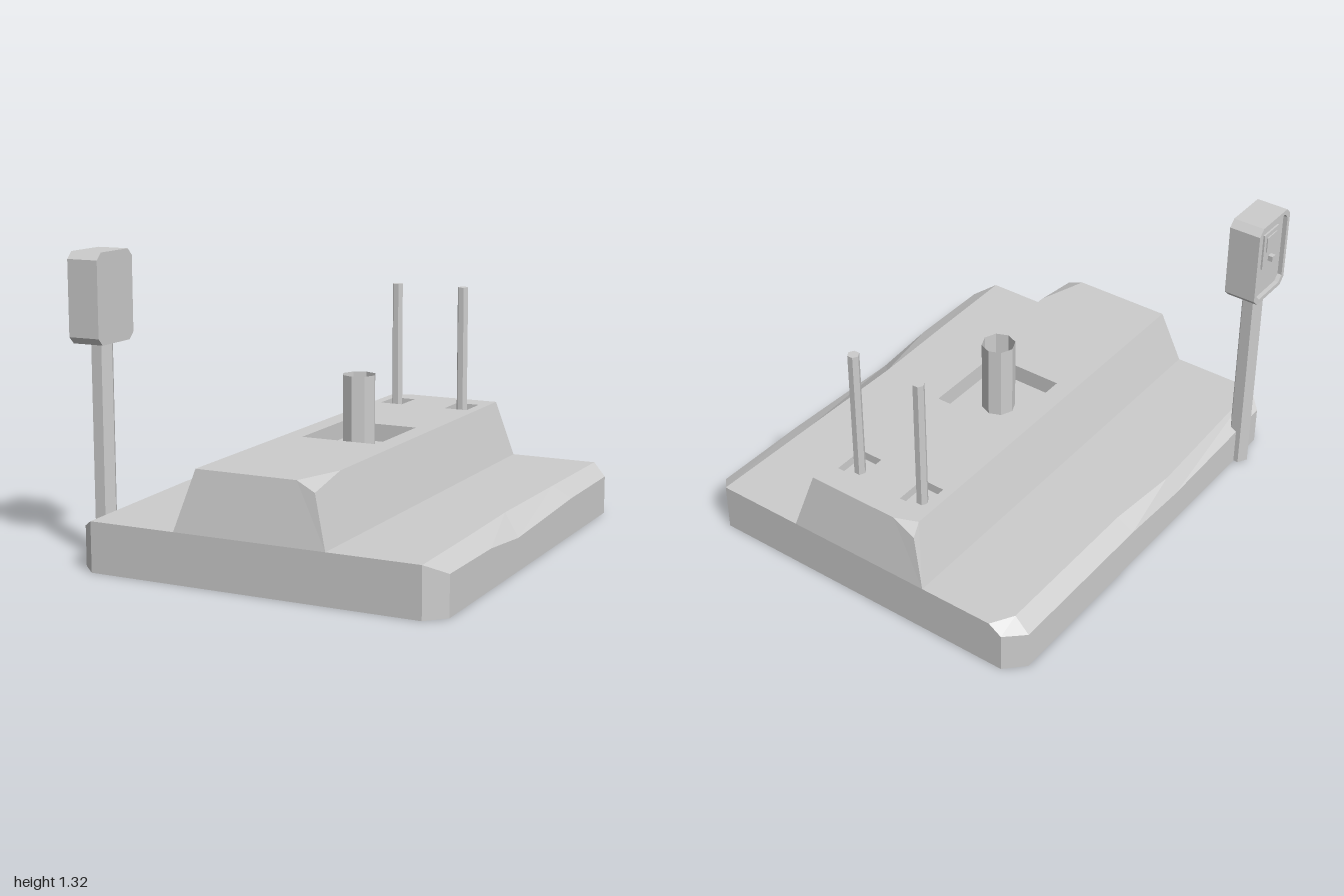
import * as THREE from 'three';

const grey = new THREE.MeshStandardMaterial({ color: 0xcccccc, side: THREE.DoubleSide });
grey.name = 'plain grey';

// Faceted mesh with one normal per face
function flatMesh(geometry, name) {
  const g = geometry.index ? geometry.toNonIndexed() : geometry;
  g.computeVertexNormals();
  const mesh = new THREE.Mesh(g, grey);
  mesh.name = name;
  return mesh;
}

// Joins equal-length rings of [x, y, z]; optional caps on the last and first ring
function loft(rings, capEnd, capStart) {
  const out = [];
  const tri = (a, b, c) => out.push(...a, ...b, ...c);
  const n = rings[0].length;
  const centre = ring => [0, 1, 2].map(k => ring.reduce((s, p) => s + p[k], 0) / n);
  for (let i = 0; i < n; i++) {
    const j = (i + 1) % n;
    for (let r = 0; r + 1 < rings.length; r++) {
      const a = rings[r], b = rings[r + 1];
      tri(a[i], a[j], b[j]);
      tri(a[i], b[j], b[i]);
    }
    const first = rings[0], last = rings[rings.length - 1];
    if (capEnd) tri(last[i], last[j], centre(last));
    if (capStart) tri(first[j], first[i], centre(first));
  }
  const g = new THREE.BufferGeometry();
  g.setAttribute('position', new THREE.Float32BufferAttribute(out, 3));
  return g;
}

const rect = (x0, x1, z0, z1, y) => [[x0, y, z1], [x1, y, z1], [x1, y, z0], [x0, y, z0]];

// Rectangle with cut corners, as a shape or a hole
function cutRect(Type, x0, x1, y0, y1, c) {
  const pts = [[x0 + c, y0], [x1 - c, y0], [x1, y0 + c], [x1, y1 - c],
    [x1 - c, y1], [x0 + c, y1], [x0, y1 - c], [x0, y0 + c]];
  return new Type(pts.map(p => new THREE.Vector2(...p)));
}

function prism(radius, y0, y1, sides, turn, x, z, name, open = false) {
  const g = new THREE.CylinderGeometry(radius, radius, y1 - y0, sides, 1, open);
  g.rotateY(turn);
  g.translate(x, (y0 + y1) / 2, z);
  return flatMesh(g, name);
}

function block(x0, x1, y0, y1, z0, z1, name) {
  const g = new THREE.BoxGeometry(x1 - x0, y1 - y0, z1 - z0);
  g.translate((x0 + x1) / 2, (y0 + y1) / 2, (z0 + z1) / 2);
  return flatMesh(g, name);
}

export function createModel() {
  const model = new THREE.Group();
  model.name = 'platform';

  // Slab with cut corners and worn side edges
  const edge = [
    [-0.71, 0.22, 1], [0.79, 0.22, 1], [0.87, 0.175, 0.92], [0.87, 0.173, 0.5], [0.87, 0.145, 0.2],
    [0.87, 0.172, -0.45], [0.87, 0.175, -0.92], [0.79, 0.22, -1],
    [-0.65, 0.22, -1], [-0.71, 0.18, -1], [-0.79, 0.175, -0.92],
    [-0.79, 0.175, -0.15], [-0.79, 0.155, 0.2], [-0.79, 0.175, 0.92],
  ];
  const top = [
    edge[0], edge[1], edge[1], [0.782, 0.22, 0.55], [0.77, 0.22, 0.1],
    [0.78, 0.22, -0.45], edge[7], edge[7],
    edge[8], edge[8], [-0.71, 0.22, -0.9],
    [-0.71, 0.22, -0.15], [-0.74, 0.22, 0.2], edge[0],
  ];
  const ground = edge.map(([x, , z]) => [x, 0, z]);
  model.add(flatMesh(loft([ground, edge, top], true, true), 'baseSlab'));

  // Raised ridge with two chipped corners
  const chipA = [0.315, 0.44, 0.96], chipB = [-0.242, 0.435, -0.96];
  const rim = [[-0.23, 0.48, 0.95], [0.23, 0.48, 0.95], chipA, [0.305, 0.48, 0.72],
    [0.305, 0.48, -0.95], [-0.13, 0.48, -0.95], chipB, [-0.23, 0.48, -0.91]];
  const flatRim = rim.map((p, i) => (p === chipA || p === chipB ? rim[i + 1] : p));
  const [fl, fr, br, bl] = rect(-0.31, 0.38, -1, 1, 0.22);
  model.add(flatMesh(loft([[fl, fr, fr, fr, br, bl, bl, bl], rim, flatRim]), 'ridgeSides'));

  // Ridge top with its three pockets: x0, x1, z0, z1, floor height
  const pockets = [
    [-0.142, 0.218, -0.205, 0.2, 0.4],
    [-0.185, -0.075, -0.84, -0.69, 0.44],
    [0.148, 0.26, -0.84, -0.69, 0.44],
  ];
  const deck = new THREE.Shape(flatRim.map(([x, , z]) => new THREE.Vector2(x, -z)));
  for (const [x0, x1, z0, z1, floor] of pockets) {
    deck.holes.push(cutRect(THREE.Path, x0, x1, -z1, -z0, 0));
    model.add(flatMesh(loft([rect(x0, x1, z0, z1, 0.48), rect(x0, x1, z0, z1, floor)], true), 'pocket'));
  }
  const deckGeo = new THREE.ShapeGeometry(deck);
  deckGeo.rotateX(-Math.PI / 2);
  deckGeo.translate(0, 0.48, 0);
  model.add(flatMesh(deckGeo, 'ridgeTop'));

  // Hollow centre post and two thin rods
  model.add(prism(0.075, 0.4, 0.74, 8, 0, 0.036, 0, 'hollowPost', true));
  for (const x of [-0.132, 0.205]) {
    model.add(prism(0.026, 0.44, 1.05, 6, Math.PI / 6, x, -0.763, 'rod'));
  }

  // Control box on a six-sided stand
  const control = new THREE.Group();
  control.name = 'controlStand';
  control.add(prism(0.05, 0, 0.95, 6, Math.PI / 6, -0.787, 0.77, 'stand'));
  const slice = (shape, x, depth, name) => {
    const g = new THREE.ExtrudeGeometry(shape, { depth, bevelEnabled: false });
    g.rotateY(-Math.PI / 2);
    g.translate(x, 0, 0);
    control.add(flatMesh(g, name));
  };
  const outline = () => cutRect(THREE.Shape, 0.64, 0.9, 0.935, 1.32, 0.03);
  slice(outline(), -0.715, 0.125, 'controlBox');
  const frame = outline();
  frame.holes.push(cutRect(THREE.Path, 0.66, 0.88, 0.955, 1.3, 0.025));
  slice(frame, -0.84, 0.02, 'boxRim');

  // Panel, window and button in the recessed face
  control.add(block(-0.848, -0.84, 1.09, 1.26, 0.71, 0.83, 'panel'));
  control.add(block(-0.853, -0.848, 1.17, 1.24, 0.73, 0.81, 'panelWindow'));
  control.add(block(-0.87, -0.848, 1.115, 1.14, 0.755, 0.78, 'button'));
  model.add(control);

  return model;
}
